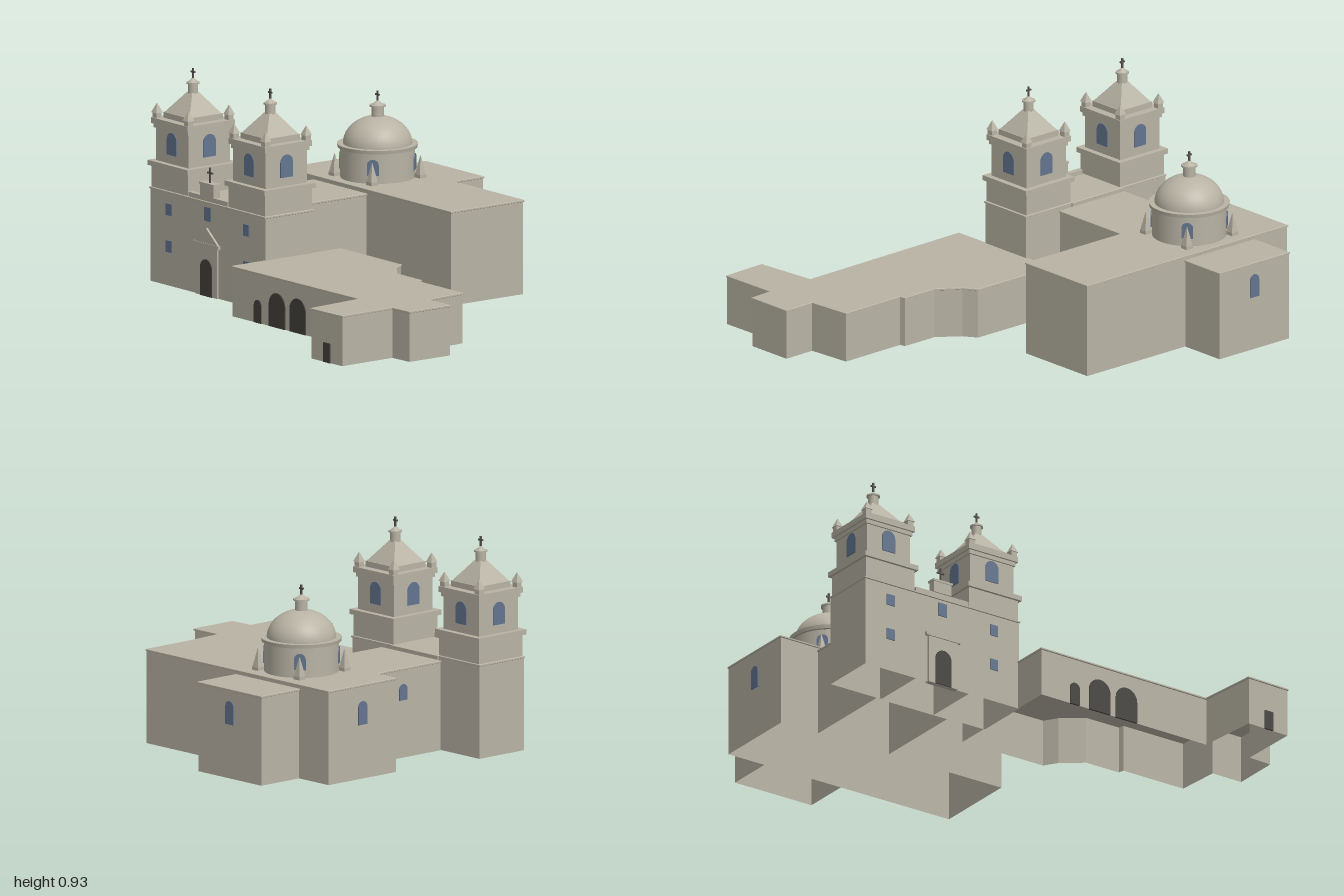
import * as THREE from 'three';

const stone = new THREE.MeshStandardMaterial({ color: 0xb8b3a4, side: THREE.DoubleSide });
stone.name = 'stone';
const glass = new THREE.MeshStandardMaterial({ color: 0x63758f });
glass.name = 'blue glass';
const dark = new THREE.MeshStandardMaterial({ color: 0x45423c });
dark.name = 'dark opening';
const iron = new THREE.MeshStandardMaterial({ color: 0x55524b });
iron.name = 'iron';

function add(parent, name, geo, mat, x = 0, y = 0, z = 0) {
  const m = new THREE.Mesh(geo, mat);
  m.name = name;
  m.position.set(x, y, z);
  parent.add(m);
  return m;
}

function group(parent, name, x = 0, y = 0, z = 0) {
  const g = new THREE.Group();
  g.name = name;
  g.position.set(x, y, z);
  parent.add(g);
  return g;
}

// Square block standing on y0
function block(parent, name, half, y0, y1, halfZ = half, x = 0, z = 0) {
  return add(parent, name, new THREE.BoxGeometry(half * 2, y1 - y0, halfZ * 2), stone, x, (y0 + y1) / 2, z);
}

// Open-bottomed walls around a plan outline, closed by a thin roof slab
function building(parent, name, ring, h) {
  const g = group(parent, name);
  const top = h - 0.01, pos = [];
  ring.forEach(([ax, az], i) => {
    const [bx, bz] = ring[(i + 1) % ring.length];
    pos.push(ax, 0, az, bx, 0, bz, bx, top, bz, ax, 0, az, bx, top, bz, ax, top, az);
  });
  const walls = new THREE.BufferGeometry();
  walls.setAttribute('position', new THREE.Float32BufferAttribute(pos, 3));
  walls.computeVertexNormals();
  add(g, 'walls', walls, stone);
  const shape = new THREE.Shape(ring.map(([x, z]) => new THREE.Vector2(x, -z)));
  const roof = new THREE.ExtrudeGeometry(shape, {
    depth: 0.006, bevelThickness: 0.002, bevelSize: 0.004, bevelSegments: 1,
  });
  roof.rotateX(-Math.PI / 2);
  add(g, 'roof', roof, stone, 0, top + 0.002, 0);
  return g;
}

const rect = (x0, x1, z0, z1) => [[x0, z1], [x1, z1], [x1, z0], [x0, z0]];

// Thin plate with a round top; angle 0 faces +z
function arch(parent, name, mat, w, h, x, y, z, angle, round = true) {
  const s = new THREE.Shape();
  const r = w / 2;
  s.moveTo(-r, 0);
  s.lineTo(r, 0);
  if (round) s.absarc(0, h - r, r, 0, Math.PI, false);
  else s.lineTo(r, h).lineTo(-r, h);
  const geo = new THREE.ExtrudeGeometry(s, { depth: 0.008, bevelEnabled: false, curveSegments: 10 });
  geo.translate(0, 0, -0.004);
  add(parent, name, geo, mat, x, y, z).rotation.y = angle;
}

function pyramid(parent, name, rTop, rBase, y0, y1, x = 0, z = 0) {
  const k = Math.SQRT2;
  const geo = new THREE.CylinderGeometry(rTop * k, rBase * k, y1 - y0, 4, 1).toNonIndexed();
  geo.rotateY(Math.PI / 4);
  geo.computeVertexNormals();
  return add(parent, name, geo, stone, x, (y0 + y1) / 2, z);
}

function cross(parent, y, h, turned = false) {
  const g = group(parent, 'cross', 0, y, 0);
  add(g, 'post', new THREE.BoxGeometry(0.007, h, 0.007), iron, 0, h / 2, 0);
  add(g, 'arm', new THREE.BoxGeometry(0.007, 0.007, h * 0.55), iron, 0, h * 0.65, 0);
  if (turned) g.rotation.y = Math.PI / 2;
}

// Small round lantern with cap and cross
function lantern(parent, y, r, h) {
  const g = group(parent, 'lantern', 0, y, 0);
  add(g, 'lanternDrum', new THREE.CylinderGeometry(r, r, h, 16), stone, 0, h / 2, 0);
  add(g, 'lanternRim', new THREE.CylinderGeometry(r * 1.3, r * 1.3, 0.007, 16), stone, 0, h, 0);
  add(g, 'lanternCap', new THREE.ConeGeometry(r * 1.1, 0.022, 16), stone, 0, h + 0.013, 0);
  cross(g, h + 0.018, 0.045);
}

function bellTower(parent, name, z) {
  const cx = -0.304;
  building(parent, name + 'Base', rect(cx - 0.128, cx + 0.128, z - 0.131, z + 0.131), 0.41);
  const t = group(parent, name, cx, 0, z);
  block(t, 'upperBase', 0.126, 0.41, 0.503);
  block(t, 'ledge', 0.138, 0.503, 0.525);
  block(t, 'belfry', 0.112, 0.525, 0.67);
  block(t, 'lowerCornice', 0.119, 0.667, 0.685);
  block(t, 'cornice', 0.127, 0.685, 0.71);
  block(t, 'roofStep', 0.09, 0.71, 0.735);
  pyramid(t, 'roof', 0.018, 0.086, 0.735, 0.825);
  lantern(t, 0.82, 0.022, 0.045);
  for (let i = 0; i < 4; i++) {
    const a = i * Math.PI / 2;
    arch(t, 'belfryWindow', glass, 0.066, 0.098, Math.sin(a) * 0.112, 0.563, Math.cos(a) * 0.112, a);
    const px = i % 2 ? 0.109 : -0.109, pz = i < 2 ? 0.109 : -0.109;
    block(t, 'pinnacleBase', 0.014, 0.71, 0.732, 0.014, px, pz);
    pyramid(t, 'pinnacle', 0.001, 0.018, 0.732, 0.772, px, pz);
  }
  for (const y of [0.145, 0.305]) {
    arch(t, 'smallWindow', glass, 0.04, 0.05, -0.128, y, 0, -Math.PI / 2, false);
  }
}

function dome(parent) {
  const d = group(parent, 'dome', 0.455, 0, -0.565);
  add(d, 'drum', new THREE.CylinderGeometry(0.159, 0.159, 0.135, 40), stone, 0, 0.475, 0);
  add(d, 'drumCornice', new THREE.CylinderGeometry(0.173, 0.17, 0.016, 40), stone, 0, 0.548, 0);
  const shell = new THREE.SphereGeometry(0.148, 40, 14, 0, Math.PI * 2, 0, Math.PI / 2);
  add(d, 'shell', shell, stone, 0, 0.553, 0).scale.y = 0.82;
  lantern(d, 0.668, 0.027, 0.05);
  for (let i = 0; i < 4; i++) {
    const a = Math.PI / 4 + i * Math.PI / 2, s = Math.sin(a), c = Math.cos(a);
    arch(d, 'drumWindow', glass, 0.05, 0.07, s * 0.159, 0.445, c * 0.159, a);
    block(d, 'obeliskBase', 0.018, 0.41, 0.425, 0.018, s * 0.184, c * 0.184);
    pyramid(d, 'obelisk', 0.001, 0.017, 0.425, 0.505, s * 0.184, c * 0.184);
  }
}

function facade(parent) {
  const f = group(parent, 'facade', -0.42, 0, -0.5975);
  block(f, 'parapet', 0.012, 0.405, 0.43, 0.135);
  block(f, 'gableBlock', 0.017, 0.43, 0.48, 0.046);
  block(f, 'gableCap', 0.02, 0.48, 0.49, 0.05);
  cross(f, 0.49, 0.065);
  // Portal with pediment
  block(f, 'portal', 0.012, 0, 0.215, 0.075, -0.008, 0);
  block(f, 'portalCornice', 0.015, 0.215, 0.23, 0.088, -0.01, 0);
  const tri = new THREE.Shape([[-0.08, 0], [0.08, 0], [0, 0.065]].map(p => new THREE.Vector2(...p)));
  const ped = new THREE.ExtrudeGeometry(tri, { depth: 0.015, bevelEnabled: false });
  add(f, 'pediment', ped, stone, -0.007, 0.23, 0).rotation.y = -Math.PI / 2;
  arch(f, 'mainDoor', dark, 0.08, 0.16, -0.02, 0, 0, -Math.PI / 2);
  arch(f, 'choirWindow', glass, 0.045, 0.06, -0.012, 0.325, 0, -Math.PI / 2, false);
}

export function createModel() {
  const model = new THREE.Group();
  model.name = 'church';

  // Church body
  building(model, 'frontBay', rect(-0.432, -0.17, -0.74, -0.46), 0.41);
  building(model, 'nave', rect(-0.17, 0.26, -0.757, -0.39), 0.39);
  building(model, 'transept', rect(0.262, 0.65, -0.948, 0.193), 0.41);
  building(model, 'apse', rect(0.65, 0.868, -0.763, -0.367), 0.39);
  arch(model, 'apseWindow', glass, 0.05, 0.102, 0.868, 0.235, -0.565, Math.PI / 2);
  arch(model, 'transeptWindow', glass, 0.05, 0.102, 0.455, 0.235, -0.948, Math.PI);
  arch(model, 'naveWindow', glass, 0.045, 0.07, 0.045, 0.25, -0.757, Math.PI);

  bellTower(model, 'rearTower', -0.865);
  bellTower(model, 'frontTower', -0.33);
  facade(model);
  dome(model);

  // Low cloister wing with irregular plan
  building(model, 'cloister', [
    [-0.59, 0.66], [-0.87, 0.685], [-0.862, 0.89], [-0.59, 0.885], [-0.583, 0.996],
    [-0.367, 0.996], [-0.37, 0.847], [-0.172, 0.832], [-0.175, 0.52], [-0.15, 0.515],
    [-0.15, 0.345], [-0.08, 0.25], [-0.022, 0.212], [-0.022, -0.205], [-0.605, -0.203],
  ], 0.22);
  arch(model, 'sideDoor', dark, 0.05, 0.1, -0.602, 0, -0.03, -Math.PI / 2);
  for (const z of [0.1, 0.24]) {
    arch(model, 'cloisterArch', dark, 0.11, 0.15, -0.601 + z * 0.017, 0, z, -Math.PI / 2);
  }
  arch(model, 'wingDoor', dark, 0.045, 0.085, -0.867, 0, 0.79, -Math.PI / 2, false);

  return model;
}
